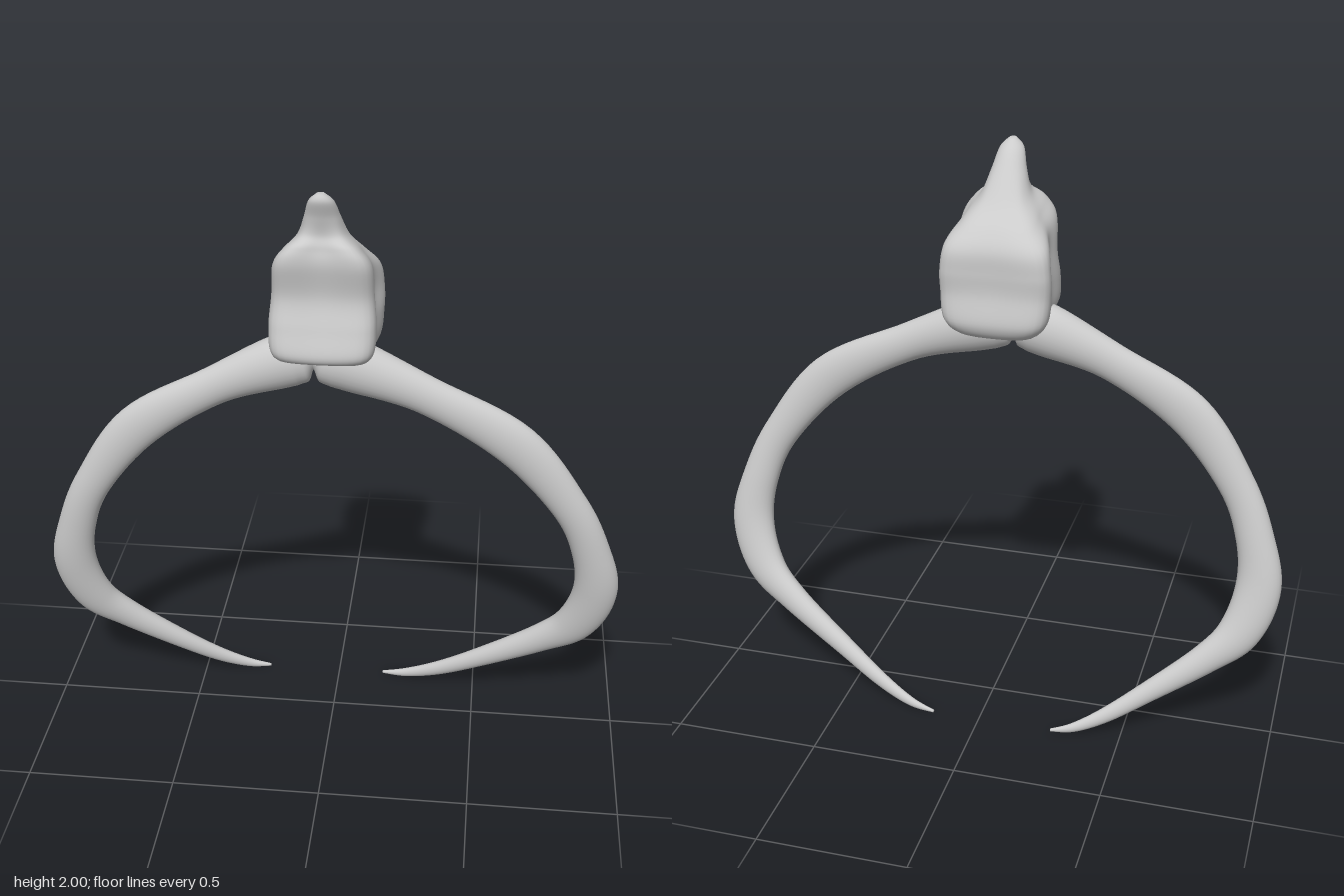
import * as THREE from 'three';

const material = new THREE.MeshStandardMaterial({ color: 0xcccccc });

// Smoothly interpolate the rows of a table; t runs from 0 to 1
function sample(rows, t) {
  const f = t * (rows.length - 1);
  const i = Math.min(Math.floor(f), rows.length - 2);
  const u = f - i;
  const row = (k) => rows[Math.max(0, Math.min(rows.length - 1, k))];
  return rows[0].map((_, c) => {
    const [a, b, d, e] = [row(i - 1)[c], row(i)[c], row(i + 1)[c], row(i + 2)[c]];
    return b + 0.5 * u * (d - a + u * (2 * a - 5 * b + 4 * d - e + u * (3 * (b - d) + e - a)));
  });
}

// Skin closed rings (counter-clockwise about the path) and cap both ends
function loft(rings, name) {
  const n = rings[0].length;
  const points = rings.flat();
  const index = [];
  for (let i = 0; i < rings.length - 1; i++) {
    for (let j = 0; j < n; j++) {
      const k = (j + 1) % n;
      const a = i * n + j, b = i * n + k, c = b + n, d = a + n;
      index.push(a, b, c, a, c, d);
    }
  }
  for (const [r, isStart] of [[0, true], [rings.length - 1, false]]) {
    const centre = new THREE.Vector3();
    rings[r].forEach((p) => centre.addScaledVector(p, 1 / n));
    const m = points.push(centre) - 1;
    for (let j = 0; j < n; j++) {
      const a = r * n + j, b = r * n + ((j + 1) % n);
      if (isStart) index.push(m, b, a);
      else index.push(m, a, b);
    }
  }
  const geometry = new THREE.BufferGeometry().setFromPoints(points);
  geometry.setIndex(index);
  geometry.computeVertexNormals();
  const mesh = new THREE.Mesh(geometry, material);
  mesh.name = name;
  return mesh;
}

// Rib stations: distance from the joint, y, z, half width, half depth
const JOINT_X = -0.06;
const ribStations = [
  [0.0, 1.415, 0.05, 0.035, 0.03],
  [0.03, 1.412, 0.05, 0.08, 0.062],
  [0.11, 1.395, 0.05, 0.09, 0.07],
  [0.33, 1.302, 0.06, 0.065, 0.046],
  [0.585, 1.145, 0.066, 0.076, 0.042],
  [0.755, 0.92, 0.054, 0.062, 0.042],
  [0.83, 0.74, 0.034, 0.064, 0.045],
  [0.857, 0.57, 0.01, 0.076, 0.047],
  [0.81, 0.41, -0.025, 0.072, 0.045],
  [0.705, 0.305, -0.062, 0.053, 0.038],
  [0.515, 0.165, -0.115, 0.036, 0.028],
  [0.385, 0.077, -0.155, 0.027, 0.02],
  [0.28, 0.026, -0.185, 0.017, 0.013],
  [0.2, 0.01, -0.2, 0.005, 0.005],
];

function rib(stretch, name) {
  const steps = 110, sides = 28, rings = [];
  const centre = (t) => {
    const [d, y, z] = sample(ribStations, t);
    return new THREE.Vector3(JOINT_X + stretch * d, y, z);
  };
  for (let i = 0; i <= steps; i++) {
    const t = i / steps;
    const [, , , width, depth] = sample(ribStations, t);
    const tangent = centre(Math.min(1, t + 0.004)).sub(centre(Math.max(0, t - 0.004))).normalize();
    const across = new THREE.Vector3(-tangent.y, tangent.x, 0).normalize();
    const through = tangent.clone().cross(across);
    const ring = [];
    for (let j = 0; j < sides; j++) {
      const a = (j / sides) * Math.PI * 2;
      ring.push(centre(t)
        .addScaledVector(across, width * Math.cos(a))
        .addScaledVector(through, depth * Math.sin(a)));
    }
    rings.push(ring);
  }
  return loft(rings, name);
}

// Vertebra levels: front y, back y, front z, back z, front and back half width,
// squareness, hollow of the sides, hollow of the front
const levels = [
  [1.465, 1.43, 0.07, -0.01, 0.03, 0.03, 0.2, 0.0, 0.0],
  [1.445, 1.4, 0.16, -0.085, 0.125, 0.12, 0.6, 0.05, 0.0],
  [1.475, 1.45, 0.2, -0.128, 0.168, 0.18, 0.8, 0.1, 0.03],
  [1.56, 1.55, 0.183, -0.118, 0.176, 0.198, 0.8, 0.15, 0.06],
  [1.66, 1.62, 0.16, -0.12, 0.166, 0.2, 0.8, 0.17, 0.08],
  [1.775, 1.69, 0.18, -0.115, 0.158, 0.182, 0.8, 0.13, 0.12],
  [1.83, 1.75, 0.175, -0.08, 0.125, 0.13, 0.65, 0.08, 0.16],
  [1.865, 1.82, 0.15, -0.015, 0.078, 0.082, 0.35, 0.0, 0.08],
  [1.92, 1.9, 0.153, 0.045, 0.058, 0.055, 0.1, 0.0, 0.0],
  [1.975, 1.965, 0.17, 0.095, 0.042, 0.036, 0.0, 0.0, 0.0],
  [2.0, 1.998, 0.162, 0.135, 0.012, 0.012, 0.0, 0.0, 0.0],
];

function vertebra() {
  const steps = 80, sides = 64, rings = [];
  for (let i = 0; i <= steps; i++) {
    const [yf, yb, zf, zb, wf, wb, square, sideHollow, frontHollow] = sample(levels, i / steps);
    const ring = [];
    for (let j = 0; j < sides; j++) {
      const a = (j / sides) * Math.PI * 2;
      // Blend a circle towards a rounded square, then pinch the middle of each face
      const s = Math.sin(a), c = Math.cos(a);
      const round = Math.pow(s ** 6 + c ** 6, -1 / 6);
      const r = 1 + square * (round - 1);
      const pinch = (k) => Math.pow(Math.max(0, k), 10);
      const u = s * r * (1 - sideHollow * pinch(Math.abs(s)));
      const v = c * r * (1 - (c > 0 ? frontHollow : sideHollow * 0.5) * pinch(Math.abs(c)));
      const f = (v + 1) / 2;
      ring.push(new THREE.Vector3(
        -0.025 + u * THREE.MathUtils.lerp(wb, wf, f),
        THREE.MathUtils.lerp(yb, yf, f),
        THREE.MathUtils.lerp(zb, zf, f)));
    }
    rings.push(ring);
  }
  return loft(rings, 'vertebra');
}

export function createModel() {
  const group = new THREE.Group();
  group.name = 'ribsAndVertebra';
  group.add(vertebra(), rib(1.122, 'leftRib'), rib(-1, 'rightRib'));
  return group;
}
